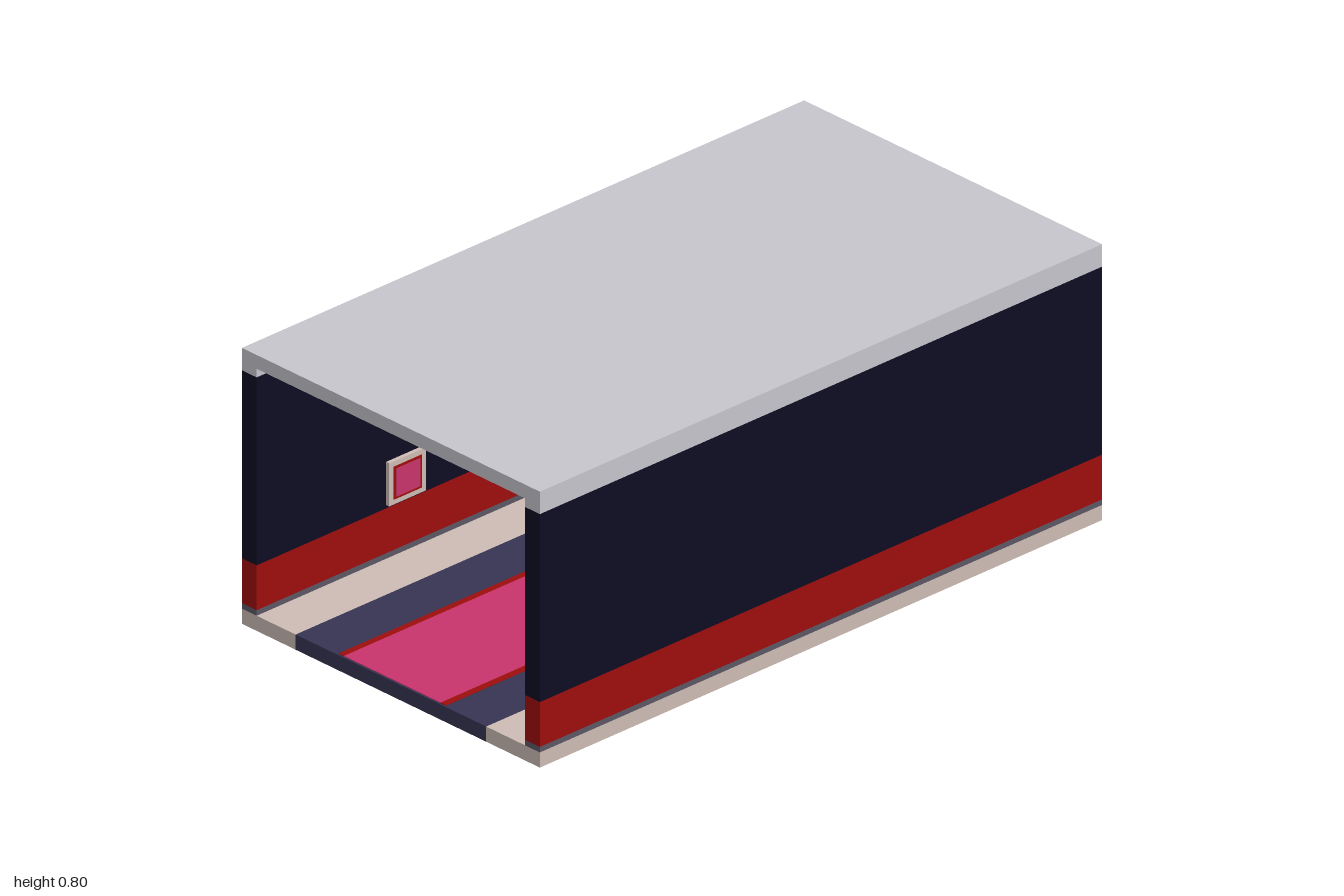
import * as THREE from 'three';

const mat = (name, color) => {
  const m = new THREE.MeshStandardMaterial({ color });
  m.name = name;
  return m;
};

export function createModel() {
  const roofGrey = mat('roofGrey', 0xc6c5cd);
  const wallNavy = mat('wallNavy', 0x0d0d22);
  const bandRed = mat('bandRed', 0x9e0e0e);
  const cream = mat('cream', 0xcdbcb4);
  const floorNavy = mat('floorNavy', 0x363452);
  const trimGrey = mat('trimGrey', 0x5a5764);
  const carpetPink = mat('carpetPink', 0xc8346b);

  const model = new THREE.Group();
  model.name = 'corridor';

  // Box given by its lower and upper limits on each axis
  const box = (parent, name, material, [x0, x1], [y0, y1], [z0, z1]) => {
    const mesh = new THREE.Mesh(new THREE.BoxGeometry(x1 - x0, y1 - y0, z1 - z0), material);
    mesh.position.set((x0 + x1) / 2, (y0 + y1) / 2, (z0 + z1) / 2);
    mesh.name = name;
    parent.add(mesh);
  };
  // Same box on either side: s = 1 is left, s = -1 is right
  const span = (s, a, b) => (s > 0 ? [a, b] : [-b, -a]);

  const W = 0.555, IN = 0.5, F = 0.044, LEN = [-1, 1];

  // Floor centre and roof slab
  box(model, 'floorCentre', floorNavy, [-0.355, 0.355], [0, F], LEN);
  box(model, 'roof', roofGrey, [-W, W], [0.76, 0.8], LEN);

  // Carpet runner with red borders
  box(model, 'carpet', carpetPink, [-0.18, 0.18], [F, F + 0.002], [-0.995, 0.995]);

  for (const s of [1, -1]) {
    box(model, 'carpetBorder', bandRed, span(s, 0.18, 0.2), [F, F + 0.002], [-0.995, 0.995]);
    box(model, 'floorEdge', cream, span(s, 0.355, W), [0, F], LEN);

    // Wall built from stacked horizontal bands
    const wall = new THREE.Group();
    wall.name = s > 0 ? 'leftWall' : 'rightWall';
    model.add(wall);
    const bands = [
      ['skirting', trimGrey, F, 0.06],
      ['redBand', bandRed, 0.06, 0.19],
      ['wallPanel', wallNavy, 0.19, 0.735],
      ['cornice', roofGrey, 0.735, 0.76],
    ];
    for (const [name, m, y0, y1] of bands) box(wall, name, m, span(s, IN, W), [y0, y1], LEN);

    // Framed pictures on the inner face
    const picture = (z, face) => {
      const x = span(s, 0.488, IN);
      box(wall, 'pictureFrame', cream, x, [0.2, 0.325], [z - 0.065, z + 0.065]);
      box(wall, 'pictureBorder', bandRed, span(s, 0.486, 0.488), [0.215, 0.31], [z - 0.05, z + 0.05]);
      box(wall, 'pictureFace', face, span(s, 0.484, 0.486), [0.222, 0.303], [z - 0.042, z + 0.042]);
    };
    picture(-s * 0.475, carpetPink);
    picture(s * 0.765, cream);

    // Shallow standing cabinet against the wall
    const z = s > 0 ? 0.3 : -0.09;
    const cabinet = [['cabinetBase', wallNavy, F, 0.105], ['cabinetFront', trimGrey, 0.105, 0.19], ['cabinetTop', wallNavy, 0.19, 0.33]];
    for (const [name, m, y0, y1] of cabinet) box(wall, name, m, span(s, 0.486, IN), [y0, y1], [z - 0.07, z + 0.07]);
  }
  return model;
}
